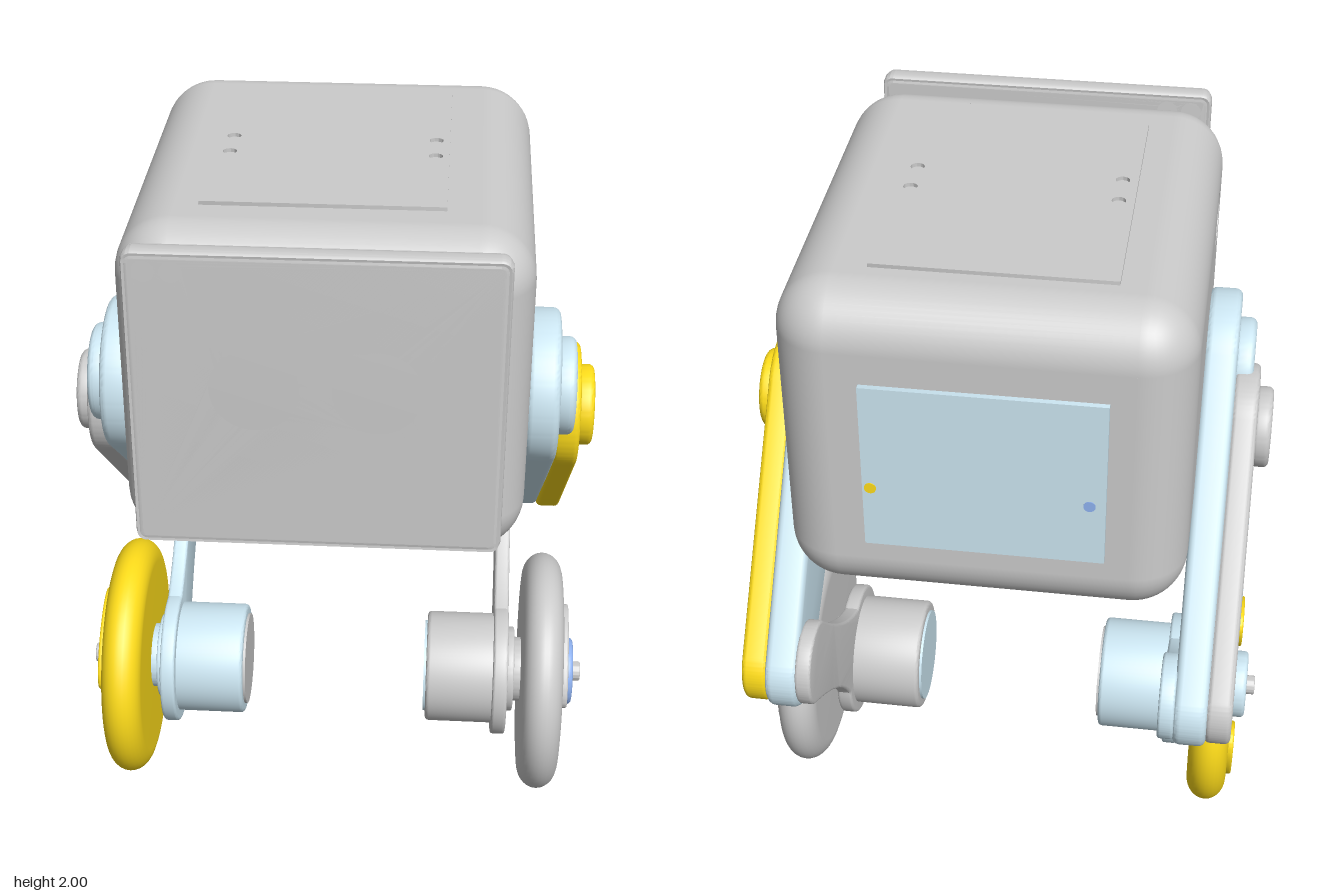
import * as THREE from 'three';
import { toCreasedNormals } from 'three/addons/utils/BufferGeometryUtils.js';
import { RoundedBoxGeometry } from 'three/addons/geometries/RoundedBoxGeometry.js';

const mat = (color) => new THREE.MeshStandardMaterial({ color, side: THREE.DoubleSide });
const GREY = mat(0xcccccc), PALE = mat(0xcce6f2), YELLOW = mat(0xffdd1a), BLUE = mat(0x8fb2f0);

function add(parent, name, geometry, material) {
  const mesh = new THREE.Mesh(geometry, material);
  mesh.name = name;
  parent.add(mesh);
  return mesh;
}

// Extrudes a shape from depth d0 to d1, rounding its rim inside the outline
function slab(shape, d0, d1, bevel = 0) {
  const g = new THREE.ExtrudeGeometry(shape, {
    depth: d1 - d0 - 2 * bevel, curveSegments: 40, bevelEnabled: bevel > 0,
    bevelSize: bevel, bevelThickness: bevel, bevelOffset: -bevel, bevelSegments: 4,
  });
  g.translate(0, 0, d0 + bevel);
  return toCreasedNormals(g, 0.5);
}

function circle(x, y, r) {
  return new THREE.Shape().absarc(x, y, r, 0, Math.PI * 2);
}

function rect(x0, y0, x1, y1, r = 0.001) {
  const s = new THREE.Shape();
  s.absarc(x1 - r, y0 + r, r, -Math.PI / 2, 0);
  s.absarc(x1 - r, y1 - r, r, 0, Math.PI / 2);
  s.absarc(x0 + r, y1 - r, r, Math.PI / 2, Math.PI);
  s.absarc(x0 + r, y0 + r, r, Math.PI, Math.PI * 1.5);
  s.closePath();
  return s;
}

function withHoles(shape, holes) {
  shape.holes.push(...holes);
  return shape;
}

// Outline around two circles of different size
function taper(ax, ay, ra, bx, by, rb) {
  const t = Math.atan2(by - ay, bx - ax);
  const p = Math.acos((ra - rb) / Math.hypot(bx - ax, by - ay));
  const s = new THREE.Shape();
  s.absarc(ax, ay, ra, t + p, t - p + Math.PI * 2);
  s.absarc(bx, by, rb, t - p, t + p);
  s.closePath();
  return s;
}

// Two round ends joined by a waisted bar
function waisted(ax, ay, ra, bx, by, rb) {
  const t = Math.atan2(by - ay, bx - ax), c = Math.cos(t), n = Math.sin(t);
  const at = (u, v) => [ax + u * c - v * n, ay + u * n + v * c];
  const len = Math.hypot(bx - ax, by - ay);
  const s = new THREE.Shape();
  s.absarc(ax, ay, ra, t + 0.7, t - 0.7 + Math.PI * 2);
  s.quadraticCurveTo(...at(0.33, -0.07), ...at(len, -rb));
  s.absarc(bx, by, rb, t - Math.PI / 2, t + Math.PI / 2);
  s.quadraticCurveTo(...at(0.33, 0.07), ...at(ra * Math.cos(0.7), ra * Math.sin(0.7)));
  return s;
}

// Rounded box without its six flat faces
function roundedEdges(w, h, d, r) {
  const src = new RoundedBoxGeometry(w, h, d, 6, r);
  const p = src.attributes.position, n = src.attributes.normal, pos = [], nor = [];
  const flat = (i) => Math.max(Math.abs(n.getX(i)), Math.abs(n.getY(i)), Math.abs(n.getZ(i))) > 0.9999;
  for (let i = 0; i < p.count; i += 3) {
    if (flat(i) && flat(i + 1) && flat(i + 2)) continue;
    for (let j = i; j < i + 3; j++) {
      pos.push(p.getX(j), p.getY(j), p.getZ(j));
      nor.push(n.getX(j), n.getY(j), n.getZ(j));
    }
  }
  const g = new THREE.BufferGeometry();
  g.setAttribute('position', new THREE.Float32BufferAttribute(pos, 3));
  g.setAttribute('normal', new THREE.Float32BufferAttribute(nor, 3));
  return g;
}

function buildBody() {
  const body = new THREE.Group();
  body.name = 'body';
  body.position.set(0, 1.545, -0.02);
  const W = 1.02, H = 0.89, D = 1.18, R = 0.14, q = Math.PI / 2;
  add(body, 'bodyRoundedEdges', roundedEdges(W, H, D, R), GREY);
  const eyes = () => [circle(-0.157, 0.085, 0.11), circle(0.14, 0.085, 0.11)];
  // name, width, height, distance from centre, rotation x, rotation y, holes
  const panels = [
    ['bodyFront', W, H, D / 2, 0, 0, eyes()],
    ['bodyBack', W, H, D / 2, 0, Math.PI, [rect(-0.285, -0.22, 0.285, 0.2)]],
    ['bodyLeftSide', D, H, W / 2, 0, q, [circle(-0.32, 0.22, 0.075)]],
    ['bodyRightSide', D, H, W / 2, 0, -q, [circle(0.32, 0.22, 0.075)]],
    ['bodyTop', W, D, H / 2, -q, 0, []],
    ['bodyBottom', W, D, H / 2, q, 0, []],
  ];
  for (const [name, w, h, dist, rx, ry, holes] of panels) {
    const a = w / 2 - R, b = h / 2 - R;
    const g = slab(withHoles(rect(-a, -b, a, b), holes), dist - 0.03, dist);
    add(body, name, g, GREY).rotation.set(rx, ry, 0);
  }

  // Face plate: pierced core inside a rounded frame
  const facePlate = new THREE.Group();
  facePlate.name = 'facePlate';
  body.add(facePlate);
  const [x0, y0, x1, y1] = [-0.465, -0.36, 0.45, 0.44];
  const core = withHoles(rect(x0 + 0.02, y0 + 0.02, x1 - 0.02, y1 - 0.02, 0.01),
    [...eyes(), circle(-0.41, 0.39, 0.027), circle(-0.345, 0.39, 0.027)]);
  add(facePlate, 'facePlateCore', slab(core, 0.592, 0.65), GREY);
  const frame = withHoles(rect(x0, y0, x1, y1, 0.03),
    [rect(x0 + 0.021, y0 + 0.021, x1 - 0.021, y1 - 0.021, 0.012)]);
  frame.holes.length = 0;
  frame.holes.push(rect(x0 + 0.023, y0 + 0.023, x1 - 0.023, y1 - 0.023, 0.005));
  add(facePlate, 'facePlateRim', slab(frame, 0.592, 0.65, 0.018), GREY);

  // Top hatch with four screw holes
  const screws = [-0.27, 0.255].flatMap((x) => [-0.025, 0.08].map((y) => circle(x, y - 0.04, 0.018)));
  const hatch = withHoles(rect(-0.31, -0.385, 0.29, 0.42), screws);
  add(body, 'topHatch', slab(hatch, 0.44, 0.455), GREY).rotation.x = -q;

  // Rear hatch with two screws
  add(body, 'rearHatch', slab(rect(-0.29, -0.245, 0.31, 0.225), 0.588, 0.605), PALE).rotation.y = Math.PI;
  for (const [x, m] of [[-0.27, YELLOW], [0.27, BLUE]])
    add(body, 'rearHatchScrew', slab(circle(x, -0.07, 0.015), 0.6, 0.607), m).rotation.y = Math.PI;
  return body;
}

// One leg; side is +1 for left and -1 for right, depth runs outward
function buildLeg(side, colors) {
  const leg = new THREE.Group();
  leg.name = side > 0 ? 'leftLeg' : 'rightLeg';
  leg.rotation.y = side * Math.PI / 2;
  const u = (z) => -side * z;
  const part = (name, shape, d0, d1, bevel, m) => add(leg, name, slab(shape, d0, d1, bevel), m);
  const disc = (name, z, y, r, d0, d1, bevel, m) => part(name, circle(u(z), y, r), d0, d1, bevel, m);

  // Thigh link, hip boss and outer cover
  part('thigh', taper(u(0.145), 1.405, 0.205, u(-0.515), 0.75, 0.112), 0.505, 0.595, 0.02, PALE);
  disc('hipBoss', 0.145, 1.405, 0.13, 0.58, 0.64, 0.018, PALE);
  part('thighCover', taper(u(0.03), 1.285, 0.17, u(-0.5), 0.755, 0.114), 0.59, 0.66, 0.015, colors.cover);
  disc('coverBoss', 0.03, 1.285, 0.11, 0.65, 0.7, 0.015, colors.cover);
  for (const [z, y] of [[-0.15, 1.095], [-0.285, 0.955]])
    disc('coverScrew', z, y, 0.013, 0.65, 0.662, 0, PALE);

  // Shin and wheel motor
  const wy = 0.355;
  part('shin', waisted(0, wy, 0.195, u(-0.515), 0.77, 0.115), 0.465, 0.508, 0.008, colors.shin);
  disc('motor', 0, wy, 0.163, 0.27, 0.48, 0.012, colors.shin);
  disc('motorCap', 0, wy, 0.135, 0.263, 0.29, 0, colors.cap);
  disc('motorFlange', 0, wy, 0.125, 0.5, 0.528, 0.005, colors.shin);
  disc('motorCollar', 0, wy, 0.095, 0.52, 0.56, 0.005, colors.shin);

  // Wheel with rounded tread
  const profile = [new THREE.Vector2(0, -0.057)];
  for (let i = 0; i <= 14; i++) {
    const a = -Math.PI / 2 + Math.PI * i / 14;
    profile.push(new THREE.Vector2(0.285 + 0.065 * Math.cos(a), 0.057 * Math.sin(a)));
  }
  profile.push(new THREE.Vector2(0, 0.057));
  const wheel = new THREE.LatheGeometry(profile, 72).rotateX(Math.PI / 2).translate(0, wy, 0.605);
  add(leg, 'wheel', wheel, colors.wheel);
  for (const [z, y, angle] of [[0.12, 0.5, 0.64], [-0.15, 0.235, 0.96]]) {
    const pad = new THREE.Shape().absellipse(u(z), y, 0.155, 0.075, 0, Math.PI * 2, false, side * angle);
    part('wheelPad', pad, 0.65, 0.677, 0.006, colors.wheel);
  }
  disc('wheelHub', 0, wy, 0.099, 0.65, 0.702, 0.012, colors.hub);
  disc('axle', 0, wy, 0.028, 0.5, 0.727, 0.004, GREY);
  return leg;
}

export function createModel() {
  const model = new THREE.Group();
  model.name = 'wheeledRobot';
  model.add(
    buildBody(),
    buildLeg(1, { cover: YELLOW, shin: GREY, cap: PALE, wheel: GREY, hub: BLUE }),
    buildLeg(-1, { cover: GREY, shin: PALE, cap: GREY, wheel: YELLOW, hub: PALE }),
  );
  return model;
}
